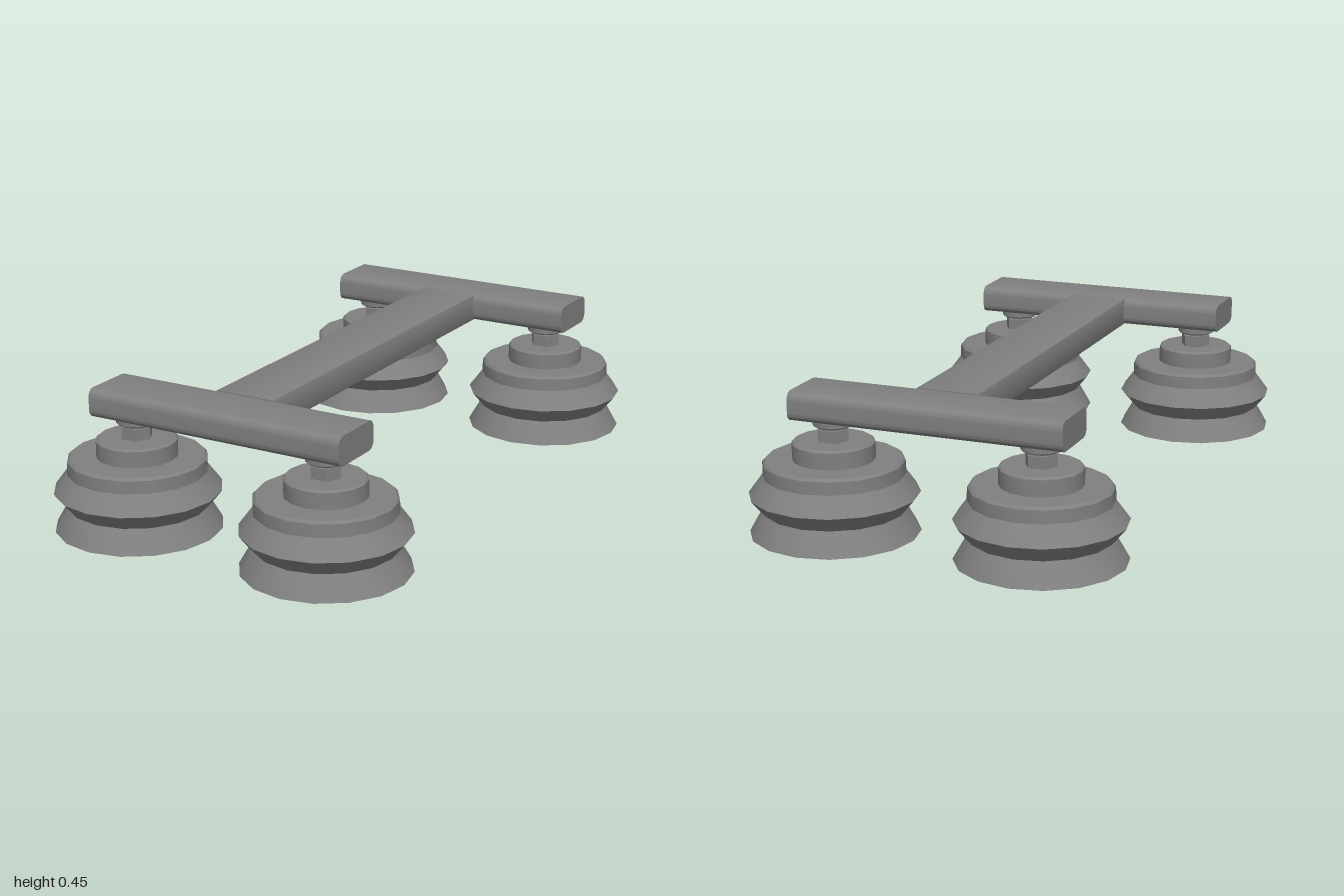
import * as THREE from 'three';
import { toCreasedNormals } from 'three/addons/utils/BufferGeometryUtils.js';

const material = new THREE.MeshStandardMaterial({ color: 0x808080 });

function part(name, geometry) {
  const mesh = new THREE.Mesh(toCreasedNormals(geometry, 0.5), material);
  mesh.name = name;
  return mesh;
}

function lathe(name, profile) {
  const points = profile.map(([r, y]) => new THREE.Vector2(r, y));
  return part(name, new THREE.LatheGeometry(points, 16));
}

// Bar with long edges rounded by r, running along z and centred on the origin
function bar(name, length, r) {
  const w = 0.0985, h = 0.0455;
  const shape = new THREE.Shape();
  shape.moveTo(w, h - r);
  shape.absarc(w - r, h - r, r, 0, Math.PI / 2);
  shape.absarc(-w + r, h - r, r, Math.PI / 2, Math.PI);
  shape.absarc(-w + r, -h + r, r, Math.PI, Math.PI * 1.5);
  shape.absarc(w - r, -h + r, r, Math.PI * 1.5, Math.PI * 2);
  const geometry = new THREE.ExtrudeGeometry(shape, { depth: length, bevelEnabled: false, curveSegments: 4 });
  geometry.translate(0, 0, -length / 2);
  return part(name, geometry);
}

function suctionCup() {
  const cup = new THREE.Group();
  cup.name = 'suctionCup';
  // Hollow bellows: inside from the ceiling down to the lip, then outside up
  cup.add(lathe('bellows', [
    [0, 0.21], [0.2, 0.21], [0.204, 0.178], [0.243, 0.122], [0.205, 0.072], [0.247, 0],
    [0.258, 0], [0.217, 0.072], [0.258, 0.122], [0.215, 0.18],
    [0.214, 0.22], [0.206, 0.228], [0, 0.228],
  ]));
  // Stepped hub
  cup.add(lathe('hub', [[0, 0.22], [0.125, 0.22], [0.125, 0.279], [0.118, 0.285], [0, 0.285]]));
  // Hexagonal nut
  const nut = new THREE.CylinderGeometry(0.05, 0.05, 0.042, 6);
  nut.rotateY(Math.PI / 6).translate(0, 0.301, 0);
  cup.add(part('nut', nut));
  // Mounting disc under the crossbar
  cup.add(lathe('mountingDisc', [[0, 0.329], [0.055, 0.329], [0.061, 0.334], [0.061, 0.362], [0, 0.362]]));
  return cup;
}

export function createModel() {
  const model = new THREE.Group();
  model.name = 'suctionCupFrame';
  const barY = 0.401, barZ = 0.742;

  // Frame
  const spine = bar('spine', 1.31, 0.005);
  spine.position.y = barY;
  model.add(spine);
  for (const side of [1, -1]) {
    const crossbar = bar(side > 0 ? 'frontCrossbar' : 'backCrossbar', 0.864, 0.026);
    crossbar.rotation.y = Math.PI / 2;
    crossbar.position.set(0, barY, side * barZ);
    model.add(crossbar);

    // A cup under each crossbar end
    for (const x of [0.332, -0.332]) {
      const cup = suctionCup();
      cup.position.set(x, 0, side * barZ);
      model.add(cup);
    }
  }
  return model;
}
